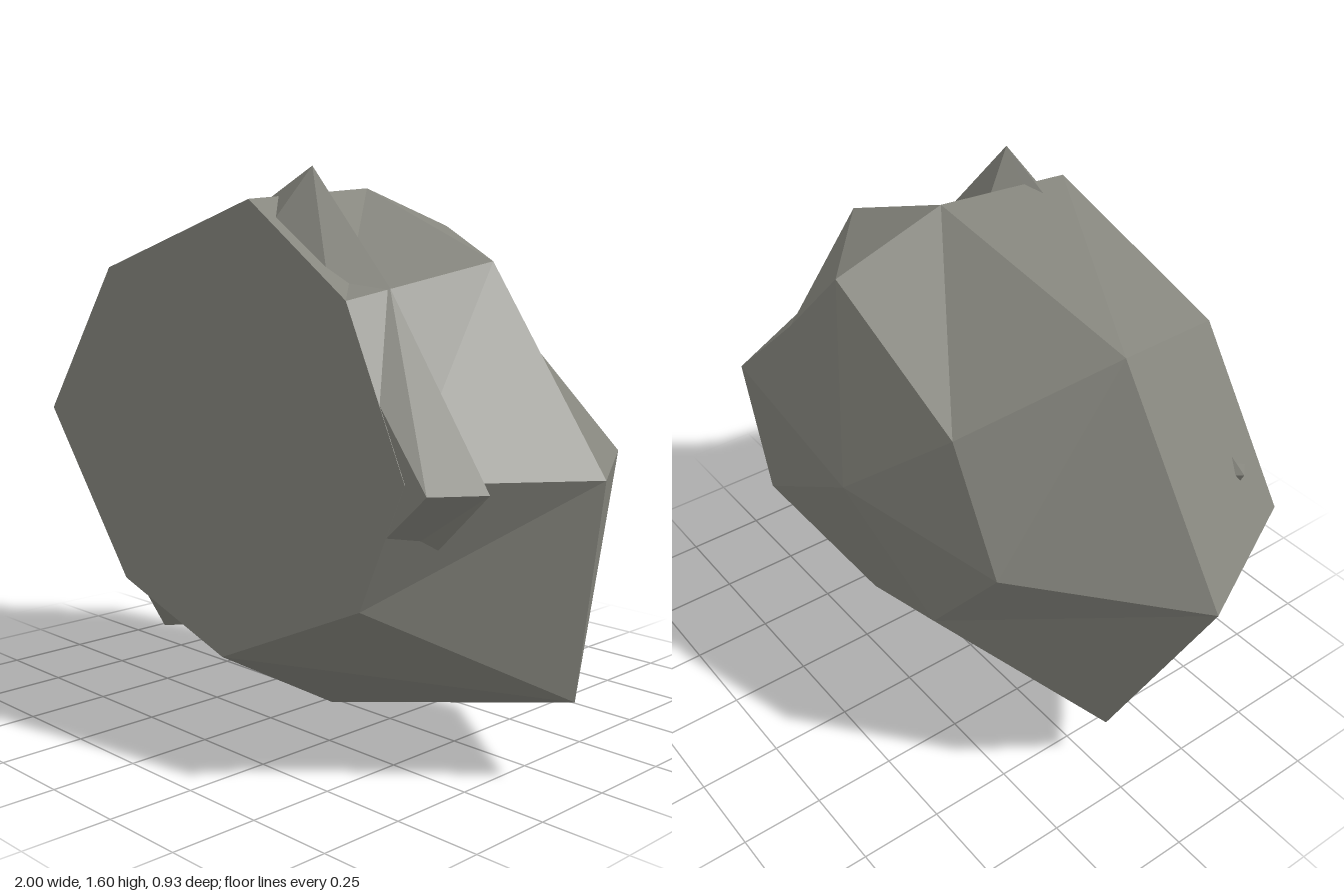
import * as THREE from 'three';

// Closed faceted stone: outlines run counter-clockwise seen from +z, ordered front to back.
function stoneGeometry(rings, frontTip, backTip) {
  const pos = [];
  const tri = (a, b, c) => pos.push(...a, ...b, ...c);
  const loops = rings.map(({ z, pts }) => pts.map(([x, y]) => [x, y, z]));
  const n = loops[0].length;
  for (let i = 0; i < n; i++) {
    const j = (i + 1) % n;
    for (let k = 0; k < loops.length - 1; k++) {
      const a = loops[k], b = loops[k + 1];
      tri(a[i], b[i], b[j]);
      tri(a[i], b[j], a[j]);
    }
    const last = loops[loops.length - 1];
    tri(frontTip, loops[0][i], loops[0][j]);
    tri(backTip, last[j], last[i]);
  }
  const g = new THREE.BufferGeometry();
  g.setAttribute('position', new THREE.Float32BufferAttribute(pos, 3));
  g.computeVertexNormals();
  return g;
}

export function createModel() {
  const group = new THREE.Group();
  group.name = 'rock';
  const stone = new THREE.MeshStandardMaterial({ color: 0x85857d, flatShading: true });
  stone.name = 'grey stone';

  const add = (name, geometry) => {
    const mesh = new THREE.Mesh(geometry, stone);
    mesh.name = name;
    group.add(mesh);
  };

  // Main boulder: flat front, wide waist, blunt pointed back
  add('boulder', stoneGeometry([
    { z: 0.465, pts: [[0.73, 0.83], [0.53, 1.26], [0.17, 1.51], [-0.46, 1.32],
      [-0.78, 0.875], [-0.41, 0.39], [0.04, 0.245], [0.58, 0.485]] },
    { z: 0.025, pts: [[1, 0.82], [0.63, 1.35], [0.17, 1.545], [-0.6, 1.44],
      [-1, 0.88], [-0.64, 0.17], [0.03, 0], [0.925, 0.23]] },
    { z: -0.335, pts: [[0.79, 0.83], [0.43, 1.16], [0.155, 1.44], [-0.37, 1.21],
      [-0.56, 0.87], [-0.27, 0.51], [0.04, 0.42], [0.66, 0.42]] },
  ], [0, 0.85, 0.465], [-0.03, 0.91, -0.465]));

  // Embedded stone whose rim pokes out as thin ridges
  const rim = [[0.89, 0.81], [0.56, 1.288], [0.28, 1.595], [-0.35, 1.29],
    [-0.76, 1.03], [-0.39, 0.22], [0.5, 0.42]];
  add('ridges', stoneGeometry([
    { z: 0.464, pts: [[0.8, 0.81], [0.48, 1.23], [0.23, 1.42], [-0.3, 1.15],
      [-0.65, 1.0], [-0.33, 0.38], [0.42, 0.46]] },
    { z: 0.34, pts: rim },
    { z: 0.22, pts: rim.map(([x, y]) => [x * 0.8, 0.85 + (y - 0.85) * 0.8]) },
  ], [0, 0.85, 0.464], [0, 0.85, 0.1]));

  return group;
}
